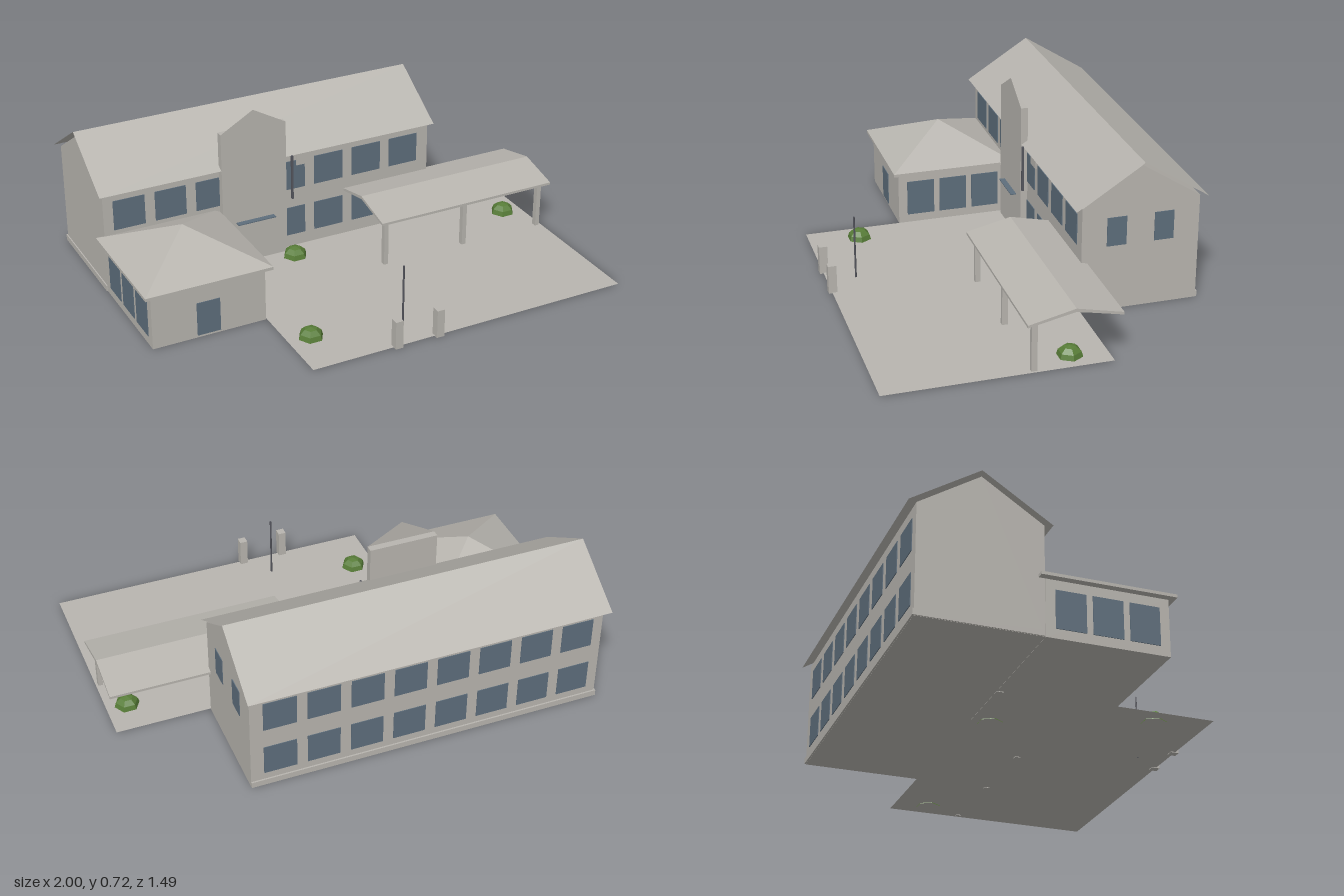
import * as THREE from 'three';

const mat = (name, color) => {
  const m = new THREE.MeshStandardMaterial({ color });
  m.name = name;
  return m;
};

// Facet a geometry so each face has its own normal
const faceted = (g) => {
  const f = g.toNonIndexed();
  f.computeVertexNormals();
  return f;
};

export function createModel() {
  const model = new THREE.Group();
  model.name = 'schoolBuilding';
  const stone = mat('stone', 0xb8b5af);
  const sheet = mat('stoneSheet', 0xb8b5af);
  sheet.side = THREE.DoubleSide;
  const glass = mat('glass', 0x5e6e7c);
  const metal = mat('darkMetal', 0x55565e);
  const leaf = mat('leaf', 0x587d38);

  const add = (name, geometry, material) => {
    const mesh = new THREE.Mesh(geometry, material);
    mesh.name = name;
    model.add(mesh);
    return mesh;
  };
  // Box from its limits on each axis
  const box = (name, material, x0, x1, y0, y1, z0, z1) => {
    const m = add(name, new THREE.BoxGeometry(x1 - x0, y1 - y0, z1 - z0), material);
    m.position.set((x0 + x1) / 2, (y0 + y1) / 2, (z0 + z1) / 2);
    return m;
  };
  // Profile of [z, y] points extruded along x
  const alongX = (name, material, points, x0, x1) => {
    const shape = new THREE.Shape(points.map(([z, y]) => new THREE.Vector2(-z, y)));
    const g = new THREE.ExtrudeGeometry(shape, { depth: x1 - x0, bevelEnabled: false });
    g.rotateY(Math.PI / 2).translate(x0, 0, 0);
    return add(name, g, material);
  };
  // Sloping sheet between two edges parallel to x
  const slope = (name, x0, x1, [za, ya], [zb, yb]) => {
    const g = new THREE.PlaneGeometry(x1 - x0, Math.hypot(zb - za, yb - ya));
    g.rotateX(-Math.atan2(za - zb, yb - ya));
    g.translate((x0 + x1) / 2, (ya + yb) / 2, (za + zb) / 2);
    return add(name, g, sheet);
  };

  // Paved yard
  const yard = add('yard', new THREE.PlaneGeometry(1.45, 0.935).rotateX(-Math.PI / 2), sheet);
  yard.position.set(0.255, 0.003, 0.2625);

  // Main two-storey block with gabled ends, plinth and thin roof
  alongX('mainWalls', stone,
    [[-0.205, 0], [-0.71, 0], [-0.71, 0.465], [-0.457, 0.627], [-0.205, 0.465]], -0.97, 0.57);
  box('plinth', stone, -0.975, 0.569, 0.001, 0.027, -0.717, -0.21);
  slope('frontRoof', -0.99, 0.585, [-0.176, 0.461], [-0.461, 0.642]);
  const back = slope('backRoof', -0.99, 0.585, [-0.461, 0.461], [-0.176, 0.642]);
  // mirror the front slope about the ridge
  back.rotation.y = Math.PI;
  back.position.set(-0.405, 0, -0.922);
  back.geometry.dispose();
  back.geometry = model.getObjectByName('frontRoof').geometry;

  // Window rows on the front and back walls
  for (let i = 0; i < 8; i++) {
    const x = -0.856 + i * 0.1857;
    for (const y of [0.06, 0.285]) {
      box('frontWindow', glass, x - 0.07, x + 0.07, y, y + 0.135, -0.207, -0.202);
      box('backWindow', glass, x - 0.07, x + 0.07, y, y + 0.135, -0.713, -0.708);
    }
  }
  for (const z of [-0.354, -0.558]) {
    box('gableWindow', glass, 0.567, 0.573, 0.287, 0.413, z - 0.042, z + 0.042);
  }

  // Low wing with pyramid roof
  box('wingWalls', stone, -0.97, -0.472, 0, 0.245, -0.204, 0.3);
  box('wingEaves', stone, -1, -0.445, 0.241, 0.254, -0.23, 0.325);
  const pyramid = new THREE.ConeGeometry(0.2775 * Math.SQRT2, 0.131, 4, 1, true).rotateY(Math.PI / 4);
  add('wingRoof', faceted(pyramid), stone).position.set(-0.7225, 0.3195, 0.0475);
  box('wingDoor', glass, -0.776, -0.674, 0.01, 0.16, 0.297, 0.303);
  for (const z of [0.198, 0.048, -0.102]) {
    for (const x of [-0.97, -0.472]) {
      box('wingWindow', glass, x - 0.003, x + 0.003, 0.04, 0.2, z - 0.062, z + 0.062);
    }
  }

  // Entrance tower with flat gable and glass porch
  box('tower', stone, -0.447, -0.146, 0, 0.63, -0.204, -0.173);
  const gable = new THREE.Shape([
    new THREE.Vector2(-0.447, 0.63), new THREE.Vector2(-0.146, 0.63), new THREE.Vector2(-0.297, 0.716)]);
  add('towerGable', new THREE.ShapeGeometry(gable), sheet).position.z = -0.173;
  box('porch', glass, -0.386, -0.209, 0.197, 0.201, -0.175, -0.148);

  // Wall bracket and small plate beside the tower
  box('wallBracket', metal, -0.122, -0.114, 0.255, 0.462, -0.178, -0.168);
  box('wallPlate', stone, -0.085, -0.014, 0.397, 0.455, -0.203, -0.197);

  // Covered walkway: shallow chevron roof on three posts
  alongX('walkwayRoof', stone,
    [[0.157, 0.222], [0.157, 0.211], [-0.036, 0.252], [-0.23, 0.211], [-0.23, 0.222], [-0.036, 0.266]],
    0.148, 1);
  for (const x of [0.182, 0.574, 0.96]) {
    box('walkwayPost', stone, x - 0.01, x + 0.01, 0, 0.22, 0.108, 0.132);
  }

  // Gate pillars and flagpole
  for (const x of [-0.093, 0.097]) {
    box('gatePillar', stone, x - 0.017, x + 0.017, 0, 0.125, 0.709, 0.745);
  }
  const pole = add('flagpole', new THREE.CylinderGeometry(0.004, 0.004, 0.285, 6), metal);
  pole.position.set(0, 0.1425, 0.605);

  // Faceted bushes
  const bush = faceted(new THREE.SphereGeometry(0.055, 6, 3, 0, Math.PI * 2, 0, Math.PI / 2));
  for (const [x, z] of [[-0.37, 0.508], [-0.135, -0.118], [0.89, -0.05]]) {
    const b = add('bush', bush, leaf);
    b.position.set(x, 0, z);
    b.scale.y = 0.9;
  }
  return model;
}
